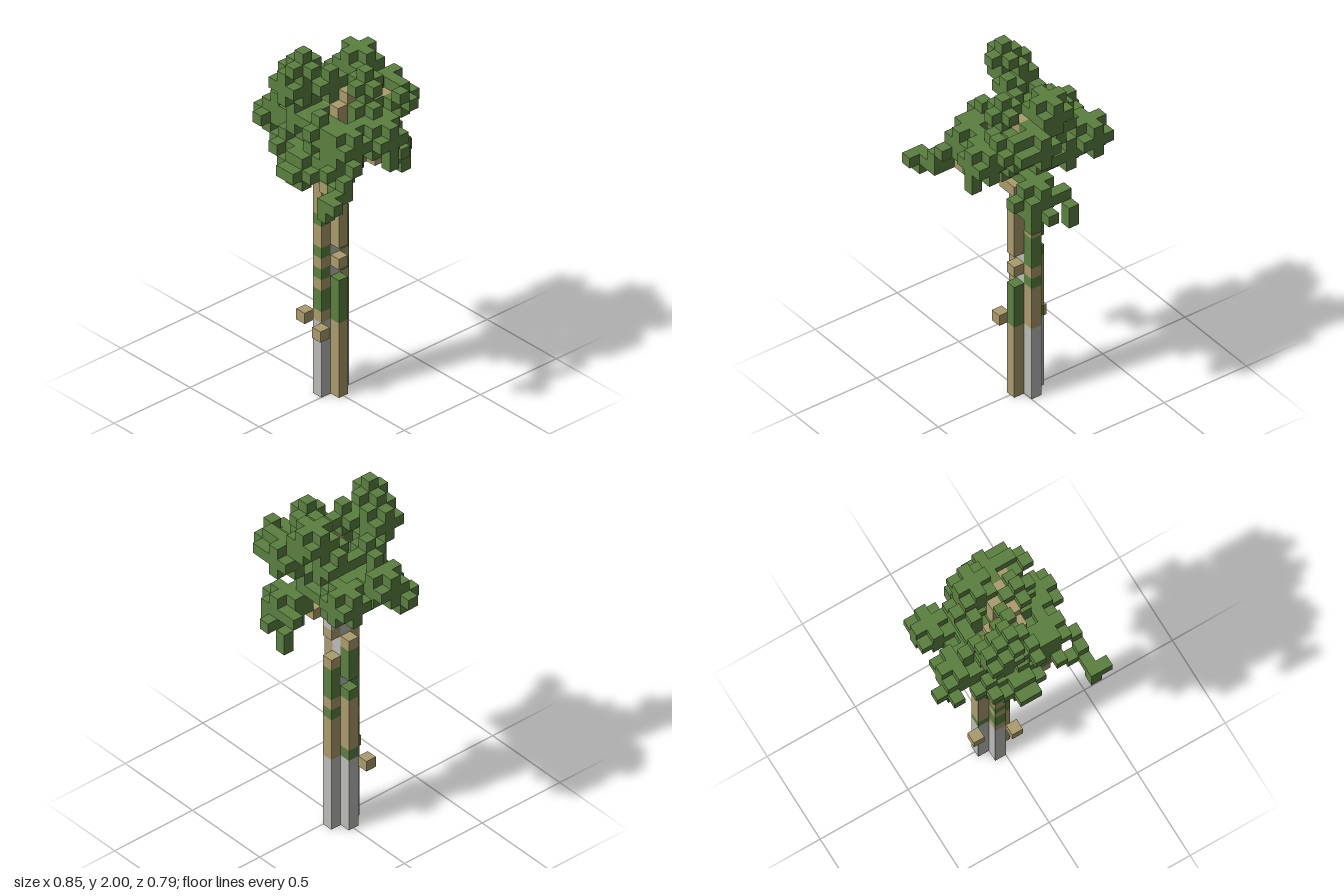
import * as THREE from 'three';
import { mergeGeometries } from 'three/addons/utils/BufferGeometryUtils.js';

const U = 2 / 33; // edge of one cube

function flatColour(name, color) {
  const material = new THREE.MeshStandardMaterial({ color });
  material.name = name;
  return material;
}
const leaf = flatColour('leaf green', 0x5b8040);
const bark = flatColour('tan bark', 0xab9c6d);
const pale = flatColour('pale grey bark', 0xbcbcb8);

// Four columns round the trunk core: bare foot below, tan bark with moss and gaps above
const FOOT = 7;
const columns = [
  { x: 6, z: 7, foot: pale, top: 20, moss: [8, 9, 11, 13, 16], gaps: [] },
  { x: 5, z: 6, foot: pale, top: 19, moss: [7, 13, 15, 16, 17], gaps: [14] },
  { x: 7, z: 6, foot: bark, top: 21, moss: [7, 8, 9, 10], gaps: [11, 13, 19] },
  { x: 6, z: 5, foot: pale, top: 17, moss: [11, 13, 14, 15], gaps: [] },
];

// Branches as paths through the grid
const branches = [
  [[6, 22, 6], [6, 24, 6], [7, 25, 6], [8, 28, 6]],
  [[7, 26, 5], [7, 28, 5], [8, 28, 4]],
  [[8, 26, 7], [8, 27, 7]],
  [[9, 21, 9], [10, 22, 9]],
  [[7, 21, 4], [8, 21, 3]],
  [[4, 6, 7]], [[7, 6, 8]], [[6, 26, 6]], [[9, 27, 3]], [[7, 20, 7]], [[6, 19, 5]], [[4, 23, 8]],
];

// Leaf clumps by centre: wide ones reach the diagonal neighbours, small ones are crosses
const WIDE = 1.5, SMALL = 1;
const foliage = [
  { name: 'treetop',
    wide: [[5, 29, 9], [6, 29, 3], [5, 27, 4]],
    small: [[6, 31, 9], [7, 29, 7], [9, 29, 5], [4, 27, 7]] },
  { name: 'backLeaves',
    wide: [[8, 27, 2], [7, 24, 4]],
    small: [[10, 27, 2], [9, 24, 5]] },
  { name: 'leftLeaves',
    wide: [[11, 25, 5], [9, 26, 5], [10, 25, 8]],
    small: [[8, 26, 9]] },
  { name: 'rightLeaves',
    wide: [[2, 25, 7], [4, 24, 7], [2, 25, 3], [4, 24, 4], [5, 26, 8]],
    small: [[1, 24, 8], [4, 23, 6]] },
  { name: 'lowFrontLeaves',
    wide: [[9, 23, 8]],
    small: [[6, 22, 10], [7, 22, 10], [7, 23, 9], [4, 23, 9]] },
  { name: 'lowBackLeaves', wide: [[8, 22, 2]], small: [] },
];

// Thin sprays of leaves as paths
const sprays = [
  [[10, 23, 10], [11, 22, 10], [12, 22, 10], [12, 22, 12], [13, 22, 12]],
  [[12, 21, 12]],
  [[12, 24, 9], [12, 23, 10]],
  [[12, 23, 5]],
  [[11, 28, 3]],
  [[6, 20, 0], [6, 21, 0], [6, 22, 1], [7, 22, 1]],
  [[8, 21, 0], [8, 22, 1]],
  [[9, 20, 1], [9, 22, 1], [10, 22, 2]],
];

// Openings in the leaves, seen through from the front (x, y) and from above (x, z)
const frontGaps = [[6, 27], [6, 25], [4, 26], [8, 24]];
const topGaps = [[6, 6], [8, 6], [8, 7], [9, 3]];
const has = (list, a, b) => list.some(([p, q]) => p === a && q === b);

// Visits every cube along a path
function walk(path, visit) {
  visit(...path[0]);
  for (let i = 1; i < path.length; i++) {
    const a = new THREE.Vector3(...path[i - 1]), b = new THREE.Vector3(...path[i]);
    const d = b.clone().sub(a);
    const steps = Math.max(Math.abs(d.x), Math.abs(d.y), Math.abs(d.z));
    for (let s = 1; s <= steps; s++) visit(...a.clone().lerp(b, s / steps).round().toArray());
  }
}

// Visits the cubes within a radius of a centre
function clump([cx, cy, cz], radius, visit) {
  for (let x = -1; x <= 1; x++)
    for (let y = -1; y <= 1; y++)
      for (let z = -1; z <= 1; z++)
        if (Math.hypot(x, y, z) <= radius) visit(cx + x, cy + y, cz + z);
}

// The six faces of a cube
const faces = [
  [0, 0, 1, 0, 0], [0, 0, -1, 0, Math.PI], [1, 0, 0, 0, Math.PI / 2],
  [-1, 0, 0, 0, -Math.PI / 2], [0, 1, 0, -Math.PI / 2, 0], [0, -1, 0, Math.PI / 2, 0],
].map(([x, y, z, rx, ry]) => ({
  x, y, z,
  geo: new THREE.PlaneGeometry(U, U).rotateX(rx).rotateY(ry).translate(x * U / 2, y * U / 2, z * U / 2),
}));

export function createModel() {
  const model = new THREE.Group();
  model.name = 'tree';
  const taken = new Set();
  const key = (x, y, z) => `${x},${y},${z}`;

  // A part collects cubes; shared cubes stay with the earlier part
  const parts = [];
  function part(name, material) {
    const cells = [];
    parts.push({ name, material, cells });
    return (x, y, z) => {
      if (taken.has(key(x, y, z))) return;
      taken.add(key(x, y, z));
      cells.push([x, y, z]);
    };
  }

  // Trunk
  const addPale = part('paleTrunk', pale);
  const addBark = part('tanTrunk', bark);
  const addMoss = part('trunkMoss', leaf);
  walk([[6, 0, 6], [6, 21, 6]], addPale);
  walk([[6, 20, 5], [6, 21, 5]], addPale);
  addPale(8, 21, 8);
  for (const { x, z, foot, top, moss, gaps } of columns)
    for (let y = 0; y < top; y++) {
      if (gaps.includes(y)) continue;
      if (moss.includes(y)) addMoss(x, y, z);
      else if (y < FOOT && foot === pale) addPale(x, y, z);
      else addBark(x, y, z);
    }

  // Branches
  const addBranch = part('branches', bark);
  for (const path of branches) walk(path, addBranch);

  // Foliage
  for (const { name, wide, small } of foliage) {
    const add = part(name, leaf);
    const addLeaf = (x, y, z) => {
      if (!has(frontGaps, x, y) && !has(topGaps, x, z)) add(x, y, z);
    };
    for (const c of wide) clump(c, WIDE, addLeaf);
    for (const c of small) clump(c, SMALL, addLeaf);
  }
  const addSpray = part('leafSprays', leaf);
  for (const path of sprays) walk(path, addSpray);

  // Outer faces of each part become one mesh
  for (const { name, material, cells } of parts) {
    const quads = [];
    for (const [x, y, z] of cells)
      for (const f of faces)
        if (!taken.has(key(x + f.x, y + f.y, z + f.z)))
          quads.push(f.geo.clone().translate((x - 6.5) * U, (y + 0.5) * U, (z - 6) * U));
    const mesh = new THREE.Mesh(mergeGeometries(quads), material);
    mesh.name = name;
    model.add(mesh);
  }
  return model;
}
